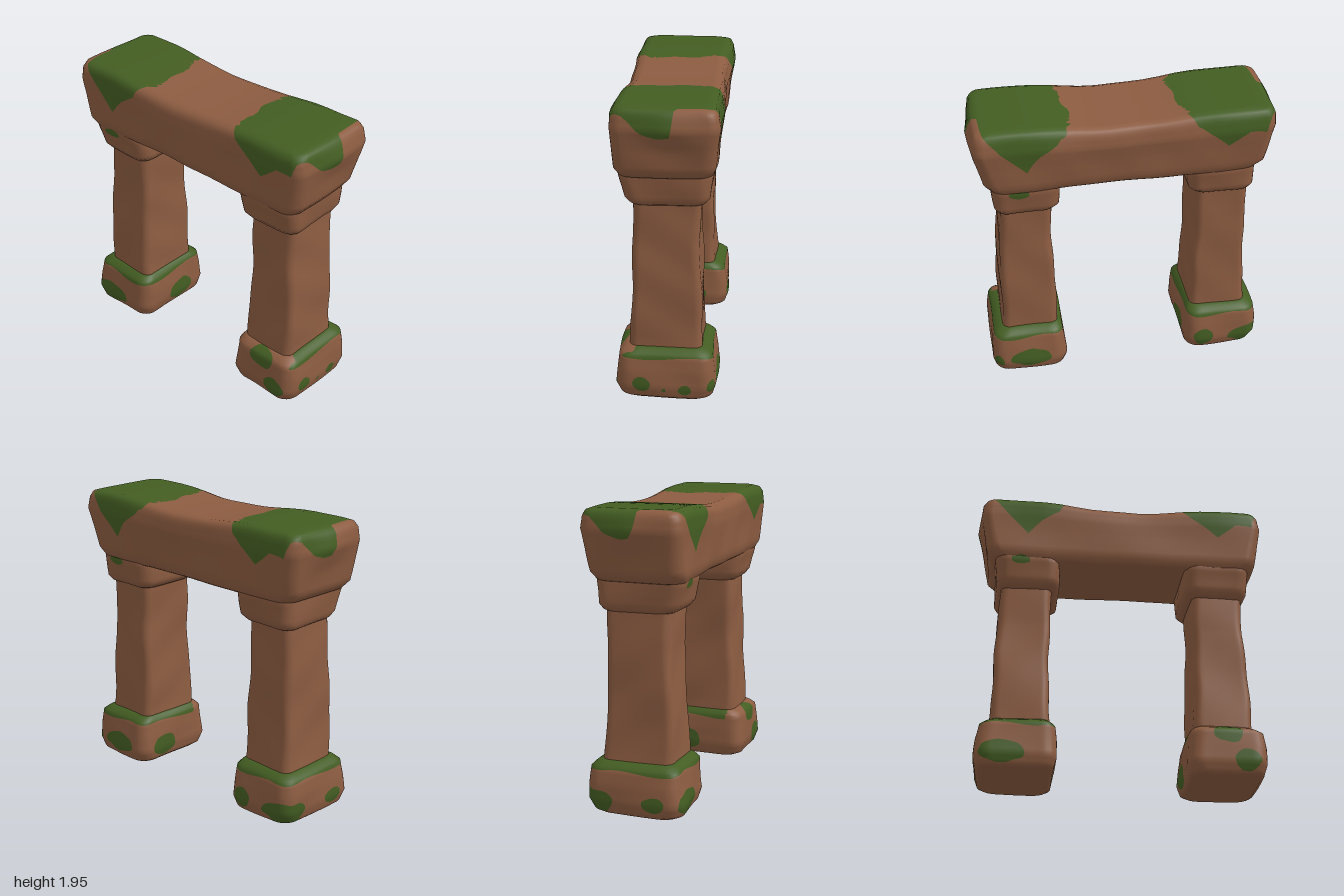
import * as THREE from 'three';

const { smoothstep, lerp, clamp } = THREE.MathUtils;

const stone = new THREE.MeshStandardMaterial({ color: 0x8c5c41 });
stone.name = 'brown stone';
const moss = new THREE.MeshStandardMaterial({ color: 0x435d22 });
moss.name = 'green moss';

// Rounded rectangle outline with a fixed number of points
function outline(x0, x1, z0, z1, r) {
  const ARC = 6, SIDE = 16, pts = [];
  r = Math.min(r, (x1 - x0) / 2, (z1 - z0) / 2);
  const corners = [[x1 - r, z1 - r], [x0 + r, z1 - r], [x0 + r, z0 + r], [x1 - r, z0 + r]];
  for (let k = 0; k < 4; k++) {
    const [cx, cz] = corners[k], [nx, nz] = corners[(k + 1) % 4];
    const end = (k + 1) * Math.PI / 2;
    for (let i = 0; i <= ARC; i++) {
      const a = (k + i / ARC) * Math.PI / 2;
      pts.push([cx + r * Math.cos(a), cz + r * Math.sin(a)]);
    }
    for (let i = 1; i < SIDE; i++) {
      const t = i / SIDE;
      pts.push([lerp(cx, nx, t) + r * Math.cos(end), lerp(cz, nz, t) + r * Math.sin(end)]);
    }
  }
  return pts;
}

// Uneven weathering of the stone
function weather(p) {
  const { x, y, z } = p;
  p.x += 0.005 * Math.sin(7 * y + 5 * z + 3 * x) + 0.003 * Math.sin(17 * y - 11 * z + x);
  p.z += 0.005 * Math.sin(6 * x + 8 * y + 1) + 0.003 * Math.sin(15 * x - 13 * y + 2);
}

// Closed loft through rows [y, x0, x1, z0, z1, cornerRadius]
function loft(rows, capRings, shape) {
  const rings = [];
  const cap = (row, s) => rings.push([row, s]);
  for (let i = 0; i < capRings; i++) cap(rows[0], i / capRings);
  rows.forEach((row, i) => {
    const next = rows[i + 1];
    if (!next) return cap(row, 1);
    const steps = Math.max(2, Math.ceil((next[0] - row[0]) / 0.03));
    for (let j = 0; j < steps; j++) cap(row.map((v, k) => lerp(v, next[k], j / steps)), 1);
  });
  for (let i = capRings - 1; i >= 0; i--) cap(rows[rows.length - 1], i / capRings);

  const pos = [], index = [], p = new THREE.Vector3();
  let n = 0;
  rings.forEach(([[y, x0, x1, z0, z1, r], s], j) => {
    const pts = outline(x0, x1, z0, z1, r);
    n = pts.length;
    const cx = (x0 + x1) / 2, cz = (z0 + z1) / 2;
    pts.forEach(([x, z], i) => {
      p.set(lerp(cx, x, s), y, lerp(cz, z, s));
      if (shape) shape(p);
      weather(p);
      pos.push(p.x, p.y, p.z);
      if (j === rings.length - 1) return;
      const a = j * n + i, b = j * n + (i + 1) % n;
      index.push(a, a + n, b, b, a + n, b + n);
    });
  });
  const g = new THREE.BufferGeometry();
  g.setAttribute('position', new THREE.Float32BufferAttribute(pos, 3));
  g.setIndex(index);
  g.computeVertexNormals();
  return g;
}

// Cut every triangle along field = 0: moss where positive, stone where negative
function mossyMesh(name, geo, field) {
  const P = geo.attributes.position, N = geo.attributes.normal, idx = geo.index.array;
  const verts = [];
  for (let i = 0; i < P.count; i++) {
    const p = new THREE.Vector3().fromBufferAttribute(P, i);
    verts.push({ p, n: new THREE.Vector3().fromBufferAttribute(N, i), f: field(p.x, p.y, p.z) });
  }
  const pos = [], nor = [];
  const g = new THREE.BufferGeometry();
  [-1, 1].forEach((sign, m) => {
    const start = pos.length / 3;
    for (let i = 0; i < idx.length; i += 3) {
      const poly = [];
      for (let k = 0; k < 3; k++) {
        const a = verts[idx[i + k]], b = verts[idx[i + (k + 1) % 3]];
        const inA = a.f * sign > 0, inB = b.f * sign > 0;
        if (inA) poly.push(a);
        if (inA !== inB) {
          const t = a.f / (a.f - b.f);
          poly.push({ p: a.p.clone().lerp(b.p, t), n: a.n.clone().lerp(b.n, t).normalize() });
        }
      }
      for (let k = 2; k < poly.length; k++) {
        for (const v of [poly[0], poly[k - 1], poly[k]]) {
          pos.push(...v.p.toArray());
          nor.push(...v.n.toArray());
        }
      }
    }
    g.addGroup(start, pos.length / 3 - start, m);
  });
  g.setAttribute('position', new THREE.Float32BufferAttribute(pos, 3));
  g.setAttribute('normal', new THREE.Float32BufferAttribute(nor, 3));
  const mesh = new THREE.Mesh(g, [stone, moss]);
  mesh.name = name;
  return mesh;
}

// Piecewise linear curve through [x, y] pairs
function curve(pts, x) {
  for (let i = 1; i < pts.length; i++) {
    const [ax, ay] = pts[i - 1], [bx, by] = pts[i];
    if (x <= bx) return lerp(ay, by, clamp((x - ax) / (bx - ax), 0, 1));
  }
  return pts[pts.length - 1][1];
}

// Lower edge of the lintel moss along the long faces and the ends
const FACE = [[-1, 1.92], [-0.82, 1.91], [-0.8, 1.81], [-0.7, 1.77], [-0.68, 1.68], [-0.63, 1.655],
  [-0.58, 1.69], [-0.57, 1.77], [-0.5, 1.82], [-0.4, 1.88], [-0.36, 1.92], [-0.32, 2.1],
  [0.37, 2.1], [0.42, 1.9], [0.48, 1.86], [0.56, 1.8], [0.6, 1.74], [0.67, 1.71], [0.72, 1.75],
  [0.75, 1.81], [0.83, 1.83], [0.85, 1.79], [0.9, 1.78], [0.92, 1.85], [1, 1.87]];
const END = [[-0.33, 1.98], [-0.06, 1.98], [-0.03, 1.78], [0.05, 1.77], [0.15, 1.8], [0.2, 1.85],
  [0.25, 1.9], [0.33, 1.92]];

function lintelMoss(x, y, z) {
  const xs = x - Math.sign(x) * (-0.05 * (1 - (z / 0.34) ** 2) + 0.012 * Math.sin(24 * z));
  const inner = Math.abs(x) < 0.6 && y > 1.88 ? xs : x;
  const side = lerp(curve(FACE, -inner), curve(FACE, inner), smoothstep(z, -0.3, 0.3));
  const h = lerp(side, curve(END, z * Math.sign(x)), smoothstep(Math.abs(x), 0.87, 0.95));
  return y - h;
}

// Moss patches as [x, y, z, radiusX, radiusY, radiusZ]
const PATCHES = [
  [-0.7, 1.48, 0.3, 0.07, 0.03, 0.1], [0.7, 1.48, -0.28, 0.07, 0.03, 0.1],
  [-0.78, 0.1, 0.32, 0.15, 0.075, 0.1], [0.8, 0.1, 0.32, 0.085, 0.075, 0.07],
  [0.68, 0.29, 0.31, 0.1, 0.075, 0.09],
  [0.95, 0.11, 0.16, 0.08, 0.05, 0.06], [0.95, 0.075, 0.02, 0.05, 0.02, 0.02],
  [0.95, 0.075, -0.12, 0.06, 0.04, 0.045], [0.93, 0.1, -0.31, 0.06, 0.06, 0.05],
  [0.68, 0.12, -0.32, 0.14, 0.07, 0.1], [0.42, 0.11, -0.1, 0.06, 0.08, 0.11],
  [-0.42, 0.11, -0.05, 0.06, 0.08, 0.11], [-0.9, 0.09, -0.29, 0.16, 0.08, 0.17],
  [-0.55, 0.11, -0.32, 0.07, 0.07, 0.08], [-0.95, 0.1, 0.14, 0.06, 0.05, 0.08],
];
function patchMoss(x, y, z) {
  const wobble = 0.1 * Math.sin(40 * x + 30 * y) * Math.cos(35 * z + 20 * y);
  return Math.max(...PATCHES.map(([px, py, pz, rx, ry, rz]) =>
    1 - Math.hypot((x - px) / rx, (y - py) / ry, (z - pz) / rz) + wobble));
}
function baseMoss(x, y, z) {
  const bare = x > 0 && z > 0.2 && x < 0.9 ? 0.08 : 0;
  const rim = y - 0.29 - bare + 0.012 * Math.sin(14 * x + 11 * z);
  return Math.max(rim * 10, patchMoss(x, y, z));
}

// Profiles of the left pillar, bottom to top
const BASE = [[0, 0.46, 0.9, -0.27, 0.27, 0.1], [0.02, 0.435, 0.925, -0.3, 0.305, 0.1],
  [0.09, 0.42, 0.943, -0.32, 0.325, 0.09], [0.2, 0.427, 0.94, -0.31, 0.315, 0.09],
  [0.3, 0.44, 0.925, -0.295, 0.305, 0.08], [0.325, 0.455, 0.9, -0.27, 0.28, 0.08],
  [0.345, 0.475, 0.865, -0.23, 0.245, 0.06]];
const SHAFT = [[0.3, 0.47, 0.865, -0.23, 0.245, 0.06], [0.4, 0.477, 0.857, -0.225, 0.24, 0.05],
  [0.8, 0.482, 0.843, -0.207, 0.225, 0.045], [1.05, 0.485, 0.833, -0.203, 0.215, 0.05],
  [1.34, 0.486, 0.826, -0.21, 0.215, 0.05]];
const CAPITAL = [[1.295, 0.49, 0.82, -0.2, 0.21, 0.07], [1.31, 0.46, 0.845, -0.235, 0.24, 0.08],
  [1.345, 0.432, 0.86, -0.262, 0.268, 0.08], [1.42, 0.427, 0.867, -0.27, 0.285, 0.08],
  [1.49, 0.43, 0.87, -0.28, 0.305, 0.08], [1.53, 0.45, 0.87, -0.27, 0.3, 0.08]];
const LINTEL = [[1.485, -0.85, 0.85, -0.26, 0.28, 0.1], [1.5, -0.885, 0.885, -0.28, 0.305, 0.1],
  [1.55, -0.925, 0.92, -0.3, 0.325, 0.09], [1.7, -0.95, 0.945, -0.315, 0.33, 0.08],
  [1.82, -0.97, 0.97, -0.332, 0.337, 0.07], [1.9, -0.962, 0.96, -0.318, 0.332, 0.07],
  [1.935, -0.945, 0.945, -0.3, 0.31, 0.07], [1.95, -0.9, 0.9, -0.26, 0.27, 0.07]];

// Sagging top, slimmer middle and blunt pointed ends
function lintelShape(p) {
  const mid = 1 - smoothstep(Math.abs(p.x), 0.1, 0.65);
  p.y -= 0.038 * mid * smoothstep(p.y, 1.6, 1.95);
  p.z *= 1 - 0.045 * mid;
  const point = Math.max(0, 1 - Math.abs(p.z) / 0.3) * Math.max(0, 1 - Math.abs(p.y - 1.82) / 0.14);
  p.x += Math.sign(p.x) * 0.024 * point * smoothstep(Math.abs(p.x), 0.75, 0.95);
}

export function createModel() {
  const model = new THREE.Group();
  model.name = 'mossyStoneArch';
  for (const [side, s] of [['left', 1], ['right', -1]]) {
    const pillar = new THREE.Group();
    pillar.name = side + 'Pillar';
    const place = rows => rows.map(([y, a, b, ...rest]) => [y, s > 0 ? a : -b, s > 0 ? b : -a, ...rest]);
    pillar.add(
      mossyMesh(side + 'Base', loft(place(BASE), 6), baseMoss),
      mossyMesh(side + 'Shaft', loft(place(SHAFT), 2), () => -1),
      mossyMesh(side + 'Capital', loft(place(CAPITAL), 3), patchMoss));
    model.add(pillar);
  }
  model.add(mossyMesh('lintel', loft(LINTEL, 16, lintelShape),
    (x, y, z) => (y > 1.6 ? lintelMoss(x, y, z) : patchMoss(x, y, z))));
  return model;
}
